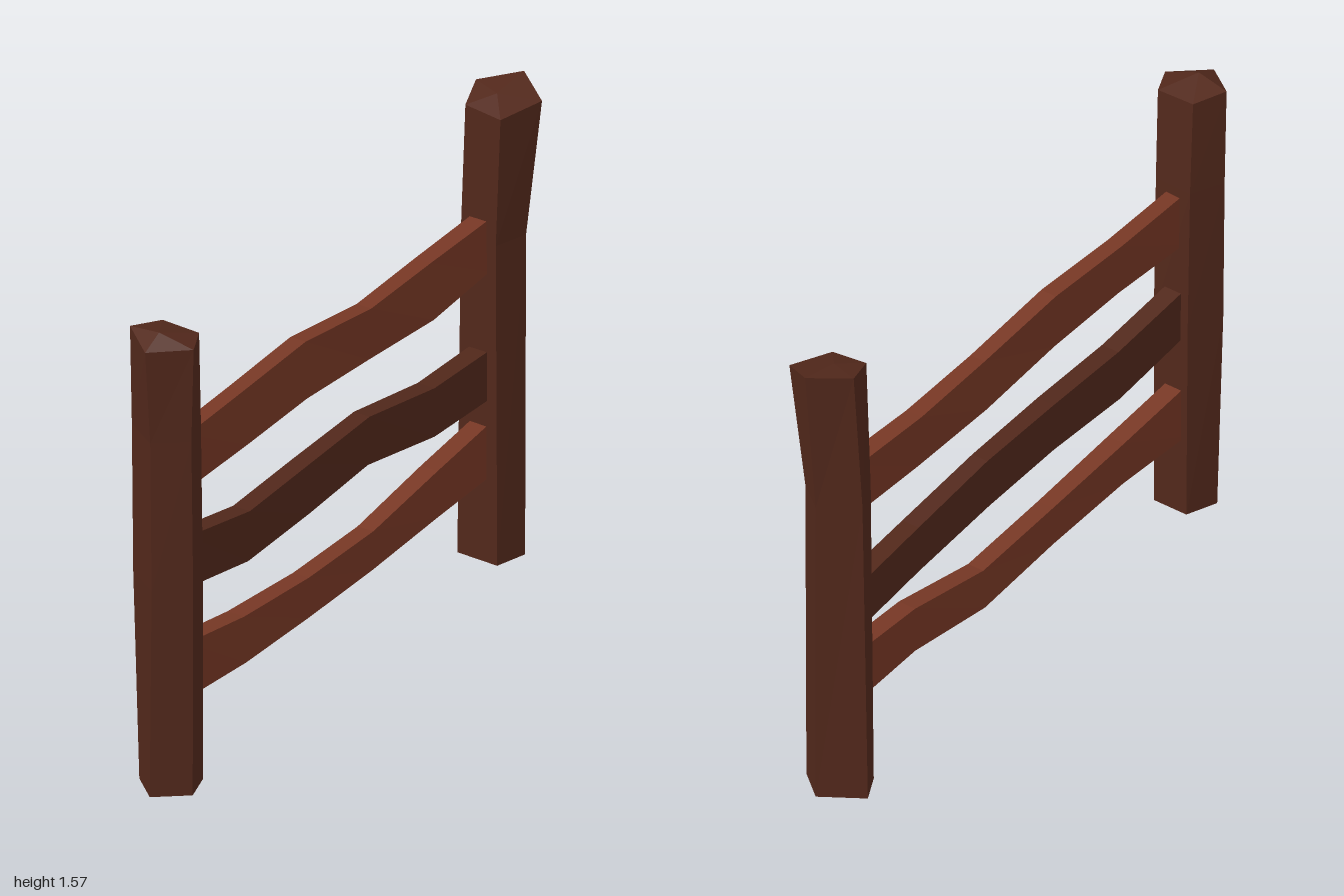
import * as THREE from 'three';

const postMat = new THREE.MeshStandardMaterial({ color: 0x52281b, flatShading: true });
const railMat = new THREE.MeshStandardMaterial({ color: 0x783825, flatShading: true });

// Skin a list of rings (counter-clockwise about the direction of travel) and close both ends
function loft(rings, startTip, endTip) {
  const pos = [];
  const tri = (...pts) => pts.forEach((p) => pos.push(...p));
  const centre = (ring) => [0, 1, 2].map((k) => ring.reduce((s, p) => s + p[k], 0) / ring.length);
  const first = rings[0], last = rings[rings.length - 1];
  const start = startTip || centre(first), end = endTip || centre(last);
  const n = first.length;
  for (let j = 0; j < n; j++) {
    const k = (j + 1) % n;
    for (let i = 0; i < rings.length - 1; i++) {
      const a = rings[i][j], b = rings[i][k], c = rings[i + 1][k], d = rings[i + 1][j];
      tri(a, b, c);
      tri(a, c, d);
    }
    tri(start, first[k], first[j]);
    tri(end, last[j], last[k]);
  }
  const geo = new THREE.BufferGeometry();
  geo.setAttribute('position', new THREE.Float32BufferAttribute(pos, 3));
  geo.computeVertexNormals();
  return geo;
}

function part(name, geo, mat) {
  const mesh = new THREE.Mesh(geo, mat);
  mesh.name = name;
  return mesh;
}

// Five-sided post: each level is [height or corner heights, [x, z] corners]
function post(name, levels, tip) {
  const rings = levels.map(([h, pts]) =>
    pts.map(([x, z], i) => [x, Array.isArray(h) ? h[i] : h, z]));
  return part(name, loft(rings, null, tip), postMat);
}

// Crooked plank: each station is [z, bottom, top, centre x, half thickness, lean]
function rail(name, stations, mat) {
  const rings = stations.map(([z, y0, y1, x, w, lean]) => [
    [x - w - lean, y0, z], [x - w + lean, y1, z],
    [x + w + lean, y1, z], [x + w - lean, y0, z],
  ]);
  return part(name, loft(rings), mat);
}

export function createModel() {
  const fence = new THREE.Group();
  fence.name = 'fence';

  // Posts
  fence.add(post('frontPost', [
    [0, [[-0.01, 0.97], [0.09, 0.89], [0.06, 0.79], [-0.06, 0.79], [-0.1, 0.89]]],
    [0.7, [[0, 0.975], [0.095, 0.895], [0.06, 0.79], [-0.065, 0.79], [-0.115, 0.9]]],
    [1.2, [[-0.005, 0.975], [0.092, 0.9], [0.06, 0.8], [-0.07, 0.795], [-0.12, 0.9]]],
    [[1.515, 1.515, 1.52, 1.525, 1.535],
      [[-0.01, 0.995], [0.1, 0.9], [0.06, 0.81], [-0.07, 0.81], [-0.12, 0.91]]],
  ], [-0.01, 1.55, 0.92]));

  fence.add(post('backPost', [
    [0, [[0.06, -0.795], [0.09, -0.9], [0, -0.975], [-0.13, -0.89], [-0.085, -0.8]]],
    [1.08, [[0.055, -0.795], [0.09, -0.905], [0, -0.975], [-0.11, -0.89], [-0.07, -0.795]]],
    [[1.515, 1.53, 1.57, 1.555, 1.53],
      [[0.075, -0.79], [0.127, -0.935], [0.02, -1], [-0.085, -0.9], [-0.05, -0.79]]],
  ], [0.01, 1.55, -0.87]));

  // Rails
  fence.add(rail('topRail', [
    [0.81, 0.98, 1.165, -0.005, 0.026, 0],
    [0.5, 0.99, 1.17, -0.005, 0.026, -0.006],
    [0.17, 0.995, 1.185, -0.008, 0.027, -0.003],
    [-0.17, 0.97, 1.145, -0.005, 0.026, 0.004],
    [-0.5, 0.957, 1.145, -0.005, 0.028, -0.006],
    [-0.81, 0.977, 1.155, -0.007, 0.03, 0],
  ], railMat));

  fence.add(rail('middleRail', [
    [0.81, 0.645, 0.818, -0.01, 0.03, 0],
    [0.5, 0.597, 0.768, 0.003, 0.03, 0.003],
    [0.17, 0.608, 0.775, 0, 0.03, 0],
    [-0.17, 0.612, 0.777, -0.012, 0.028, 0.003],
    [-0.5, 0.563, 0.727, 0.002, 0.03, 0],
    [-0.81, 0.545, 0.71, -0.01, 0.032, 0],
  ], postMat));

  fence.add(rail('bottomRail', [
    [0.81, 0.27, 0.457, -0.012, 0.03, 0],
    [0.52, 0.264, 0.418, 0.002, 0.03, -0.003],
    [0.17, 0.255, 0.39, 0, 0.028, 0],
    [-0.19, 0.245, 0.38, -0.012, 0.028, 0.003],
    [-0.52, 0.28, 0.437, 0, 0.03, 0],
    [-0.81, 0.28, 0.46, -0.01, 0.03, 0],
  ], railMat));

  return fence;
}
